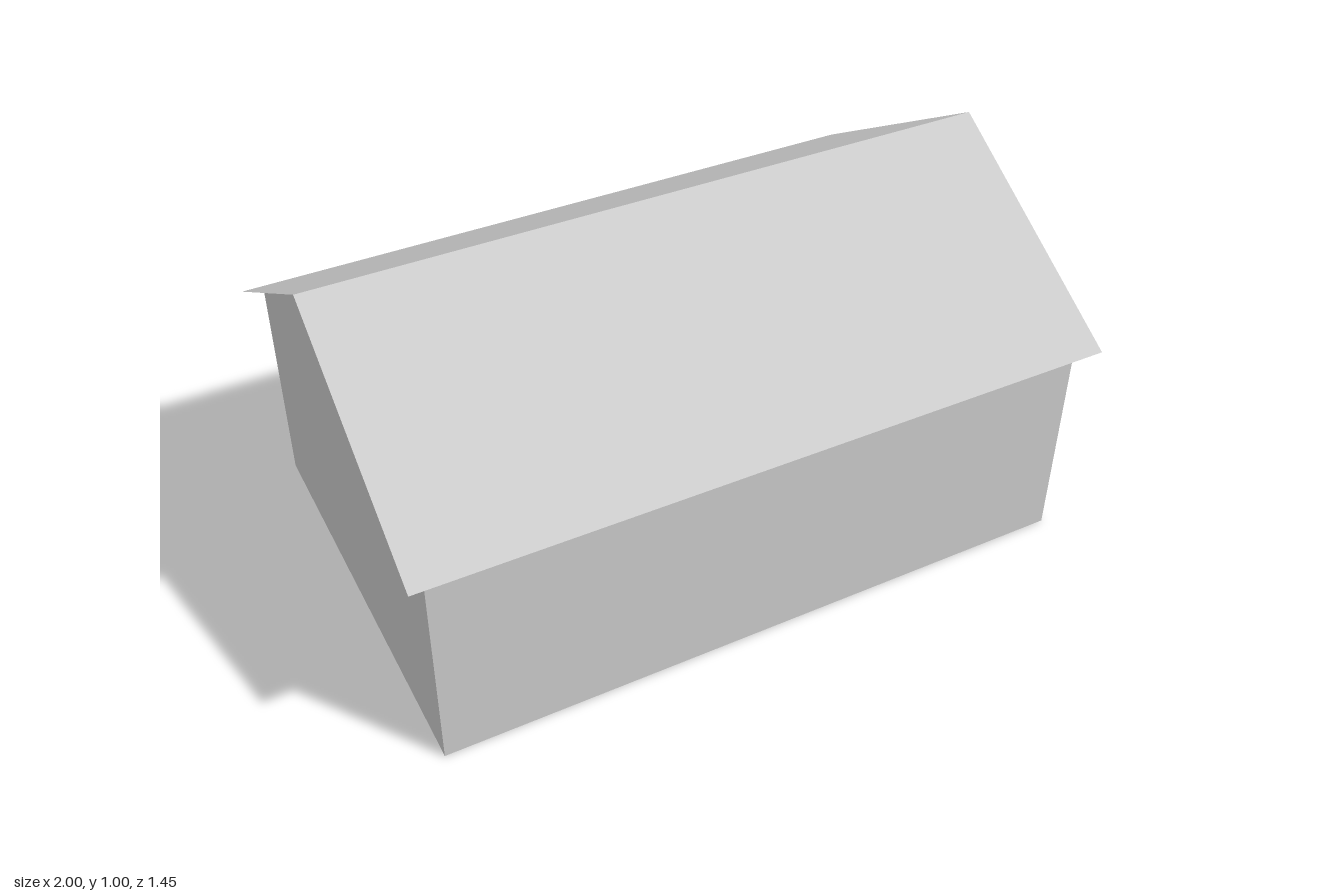
import * as THREE from 'three';

// Main dimensions
const WALL_L = 1.805, WALL_W = 1.208;
const ROOF_L = 1.905, ROOF_W = 1.304;
const RIDGE = 1, EAVE = 0.61;
const WALL_H = RIDGE - (RIDGE - EAVE) * WALL_W / ROOF_W;
const TURN = 0.0765;

export function createModel() {
  const house = new THREE.Group();
  house.name = 'house';
  const grey = new THREE.MeshStandardMaterial({ color: 0xcccccc, side: THREE.DoubleSide });
  grey.name = 'light grey';

  const add = (name, geometry) => {
    const mesh = new THREE.Mesh(geometry, grey);
    mesh.name = name;
    house.add(mesh);
    return mesh;
  };

  // Gable outline, reaching up to the underside of the roof
  const gable = new THREE.Shape([
    new THREE.Vector2(-WALL_W / 2, 0),
    new THREE.Vector2(WALL_W / 2, 0),
    new THREE.Vector2(WALL_W / 2, WALL_H),
    new THREE.Vector2(0, RIDGE),
    new THREE.Vector2(-WALL_W / 2, WALL_H),
  ]);

  const rise = RIDGE - EAVE;
  const slopeLength = Math.hypot(ROOF_W / 2, rise);
  const pitch = Math.atan2(rise, ROOF_W / 2);

  for (const [side, s] of [['front', 1], ['back', -1]]) {
    const turn = s > 0 ? 0 : Math.PI;

    // Long wall
    const wall = add(side + 'Wall', new THREE.PlaneGeometry(WALL_L, WALL_H));
    wall.position.set(0, WALL_H / 2, s * WALL_W / 2);
    wall.rotation.y = turn;

    // Thin roof slope with overhanging eave and ends
    const slope = new THREE.PlaneGeometry(ROOF_L, slopeLength);
    slope.rotateX(pitch - Math.PI / 2);
    slope.translate(0, (RIDGE + EAVE) / 2, ROOF_W / 4);
    slope.rotateY(turn);
    add(side + 'RoofSlope', slope);
  }

  // Gable end walls
  for (const [side, s] of [['left', 1], ['right', -1]]) {
    const end = add(side + 'GableWall', new THREE.ShapeGeometry(gable));
    end.position.x = s * WALL_L / 2;
    end.rotation.y = s * Math.PI / 2;
  }

  // Flat ceiling at wall height, facing down into the open-bottomed room
  const ceiling = add('ceiling', new THREE.PlaneGeometry(WALL_L, WALL_W));
  ceiling.rotation.x = Math.PI / 2;
  ceiling.position.y = WALL_H;

  // The whole building stands slightly turned
  house.rotation.y = TURN;
  const model = new THREE.Group();
  model.name = 'gabledHouse';
  model.add(house);
  return model;
}
